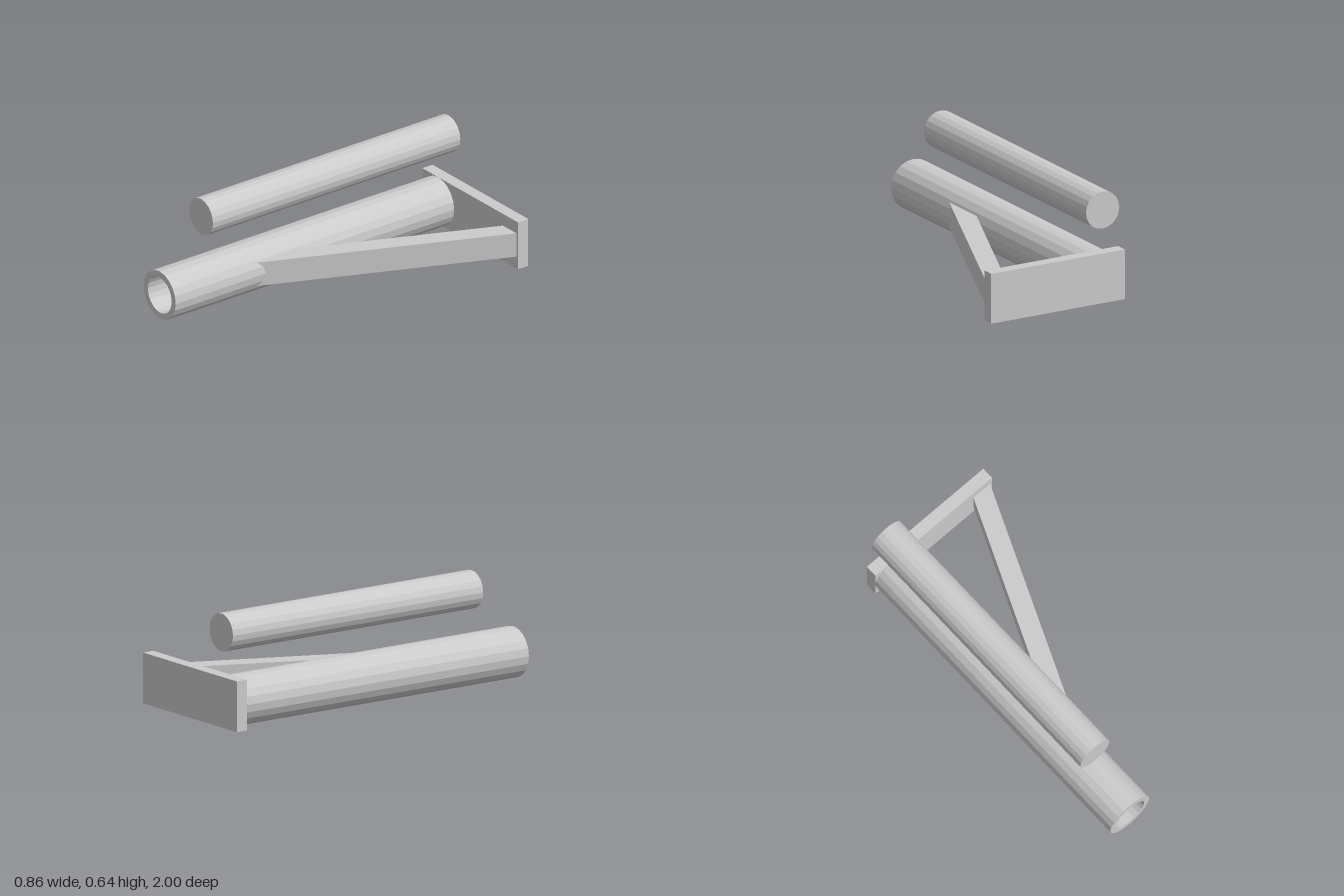
import * as THREE from 'three';

const SIDES = 20;
const AXIS_X = -0.286;

function ring(radius) {
  return Array.from({ length: SIDES }, (_, i) => {
    const a = (i / SIDES) * Math.PI * 2;
    return new THREE.Vector2(Math.cos(a) * radius, Math.sin(a) * radius);
  });
}

export function createModel() {
  const group = new THREE.Group();
  const material = new THREE.MeshStandardMaterial({ color: 0xcccccc, flatShading: true });

  function add(name, geometry, x, y, z) {
    const mesh = new THREE.Mesh(geometry, material);
    mesh.name = name;
    mesh.position.set(x, y, z);
    group.add(mesh);
  }

  // Back mounting plate
  add('mountingPlate', new THREE.BoxGeometry(0.857, 0.286, 0.071), 0, 0.143, -0.9645);

  // Hollow tube standing out from the plate
  const section = new THREE.Shape(ring(0.143));
  section.holes.push(new THREE.Path(ring(0.107)));
  const tube = new THREE.ExtrudeGeometry(section, { depth: 1.929, bevelEnabled: false });
  add('tube', tube, AXIS_X, 0.143, -0.929);

  // Separate solid rod above the tube
  const rod = new THREE.CylinderGeometry(0.107, 0.107, 1.714, SIDES).rotateX(Math.PI / 2);
  add('rod', rod, AXIS_X, 0.536, -0.143);

  // Diagonal brace, outlined in plan as (x, -z) and extruded upwards
  const outline = new THREE.Shape([
    [0.293, 0.93], [-0.168, -0.14], [-0.168, -0.43], [0.415, 0.93],
  ].map(([x, y]) => new THREE.Vector2(x, y)));
  const brace = new THREE.ExtrudeGeometry(outline, { depth: 0.142, bevelEnabled: false });
  add('diagonalBrace', brace.rotateX(-Math.PI / 2), 0, 0.072, 0);

  return group;
}
